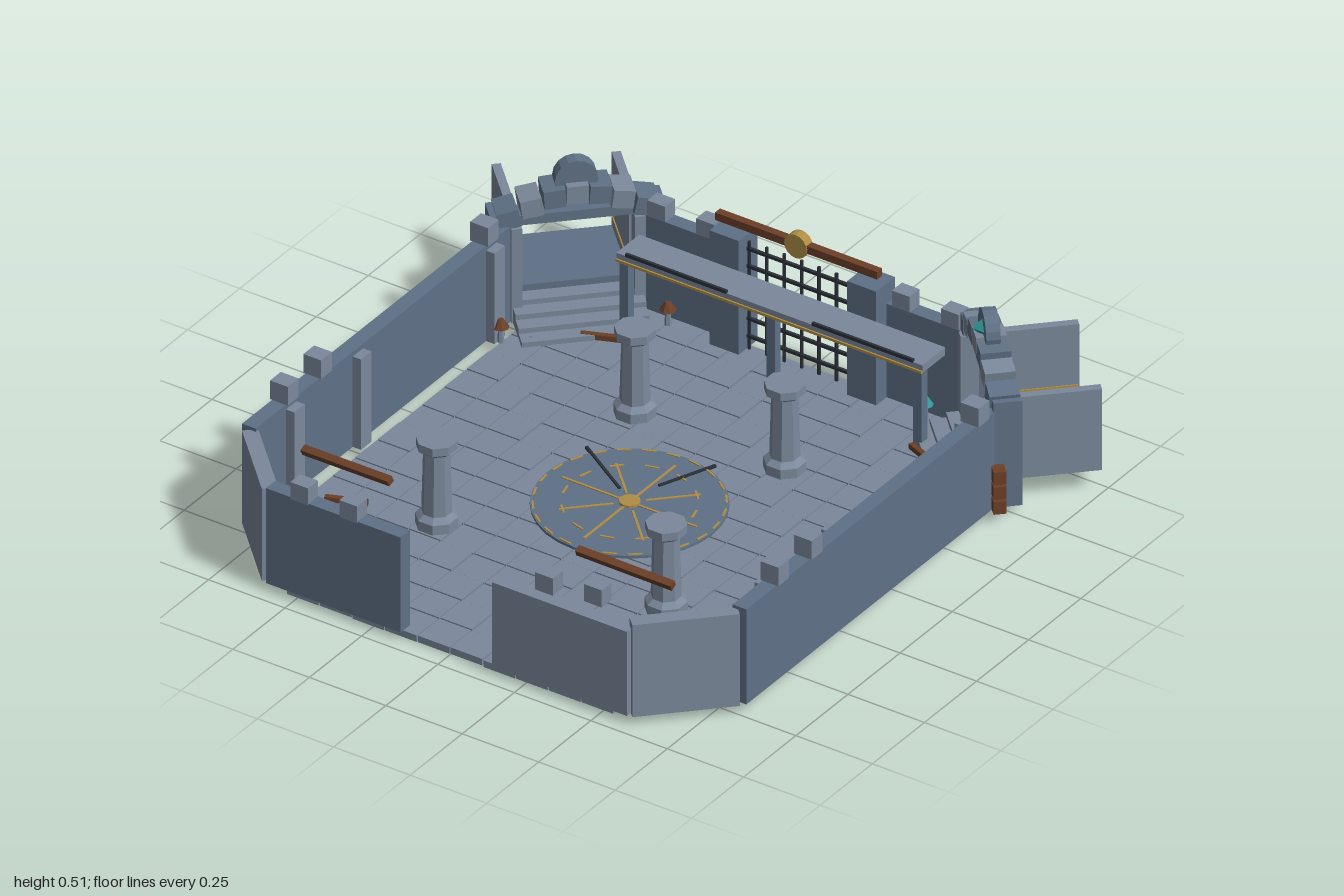
import * as THREE from 'three';

const mat = (color) => new THREE.MeshStandardMaterial({ color, flatShading: true });
const STONE = mat(0x5f7186), PALE = mat(0x7b899b), WOOD = mat(0x6b4028);
const GOLD = mat(0xb08d45), IRON = mat(0x2b3038), TEAL = mat(0x2f9a9a);

export function createModel() {
  const root = new THREE.Group();

  function add(name, geo, m, x, y, z, parent = root) {
    const mesh = new THREE.Mesh(geo, m);
    mesh.name = name;
    mesh.position.set(x, y, z);
    parent.add(mesh);
    return mesh;
  }
  const box = (name, w, h, d, m, x, y, z, parent) =>
    add(name, new THREE.BoxGeometry(w, h, d), m, x, y, z, parent);
  const cyl = (name, r0, r1, h, n, m, x, y, z, parent) =>
    add(name, new THREE.CylinderGeometry(r0, r1, h, n), m, x, y, z, parent);
  // Upright or flat bar between two plan points
  function span(name, x1, z1, x2, z2, thick, y0, y1, m) {
    const b = box(name, Math.hypot(x2 - x1, z2 - z1), y1 - y0, thick, m,
      (x1 + x2) / 2, (y0 + y1) / 2, (z1 + z2) / 2);
    b.rotation.y = -Math.atan2(z2 - z1, x2 - x1);
    return b;
  }

  // Floor of square slabs, corners left off
  const floor = new THREE.Group();
  floor.name = 'floor';
  root.add(floor);
  const step = 0.107;
  for (let i = 0; i < 14; i++) for (let j = 0; j < 16; j++) {
    const x = (i - 6.5) * step, z = -0.715 + j * step;
    if (Math.abs(x) + z > 1.47 || Math.abs(x) - z > 1.33) continue;
    const sink = ((i * 7 + j * 5) % 4) * 0.001;
    box('floorSlab', 0.103, 0.021, 0.103, PALE, x, 0.0125 - sink, z, floor);
  }

  // Inlaid floor circle with spokes, ring dashes and cracks
  const cz = 0.08;
  cyl('floorCircle', 0.27, 0.27, 0.008, 32, STONE, 0, 0.027, cz);
  cyl('circleBoss', 0.03, 0.03, 0.012, 12, GOLD, 0, 0.032, cz);
  for (let k = 0; k < 8; k++) {
    const a = k * Math.PI / 4;
    const s = box('circleSpoke', k % 2 ? 0.15 : 0.2, 0.005, 0.007, GOLD,
      Math.cos(a) * 0.12, 0.031, cz + Math.sin(a) * 0.12);
    s.rotation.y = -a;
  }
  for (const [r, n] of [[0.262, 24], [0.185, 12]]) for (let k = 0; k < n; k++) {
    const a = (k + 0.5) * 2 * Math.PI / n;
    const d = box('ringDash', 0.006, 0.005, 0.04, GOLD, Math.cos(a) * r, 0.031, cz + Math.sin(a) * r);
    d.rotation.y = -a;
  }
  for (const [a, b, c, d] of [[-0.25, -0.08, -0.06, 0.04], [0.09, -0.2, 0.02, -0.03], [0.1, 0.14, 0.29, 0.28]])
    span('crack', a, b, c, d, 0.008, 0.028, 0.036, IRON);

  // Octagonal columns
  const profile = [[0, 0], [0.06, 0], [0.06, 0.03], [0.043, 0.045], [0.038, 0.235], [0.058, 0.25], [0.058, 0.275], [0, 0.275]];
  for (const [x, z] of [[-0.245, -0.305], [0.245, -0.305], [-0.375, 0.455], [0.375, 0.455]])
    add('column', new THREE.LatheGeometry(profile.map(p => new THREE.Vector2(...p)), 8, Math.PI / 8), PALE, x, 0.025, z);

  // Parts repeated on both sides
  for (const s of [-1, 1]) {
    span('sideWall', s * 0.802, -0.52, s * 0.802, 0.73, 0.045, 0.025, 0.33, STONE);
    span('cornerWall', s * 0.798, 0.73, s * 0.59, 0.94, 0.045, 0.025, 0.32, PALE);
    span('frontWall', s * 0.15, 0.937, s * 0.59, 0.937, 0.045, 0.025, s > 0 ? 0.295 : 0.33, s > 0 ? PALE : STONE);
    span('backWall', s * 0.18, -0.775, s * 0.52, -0.775, 0.045, 0.025, 0.325, STONE);
    for (const z of [-0.4, 0.4, 0.56]) box('battlement', 0.058, 0.06, 0.052, PALE, s * 0.802, 0.36, z);
    for (const z of [-0.4, 0.24, 0.56]) box('pilaster', 0.03, 0.29, 0.05, PALE, s * 0.767, 0.17, z);
    for (const x of [0.32, 0.48]) {
      box('frontBattlement', 0.058, 0.055, 0.048, PALE, s * x, x * s === 0.48 ? 0.372 : 0.352, 0.937);
      box('backBattlement', 0.058, 0.05, 0.048, PALE, s * x, 0.35, -0.775);
    }
    box('gatePillar', 0.095, 0.365, 0.09, STONE, s * 0.225, 0.207, -0.748);

    // Fallen beams and planks
    const beam = box('wallBeam', 0.3, 0.02, 0.022, WOOD, s * 0.455, 0.35, 0.768);
    beam.rotation.set(0.4, s * 0.04, -s * 0.08);
    span('plank', s * 0.58, 0.485, s * 0.69, 0.53, 0.016, 0.026, 0.042, WOOD);
    span('plank', s * 0.47, -0.58, s * 0.58, -0.535, 0.016, 0.026, 0.042, WOOD);
    // Crates leaning outside by the doorways
    for (const [x, z] of [[0.845, -0.45], [0.475, -0.815]]) for (let k = 0; k < 3; k++) {
      const c = box('outerBoards', 0.035, 0.04, 0.042, WOOD, s * x, 0.05 + k * 0.047, z);
      c.rotation.y = s * Math.PI / 4;
    }
    // Mushrooms
    for (const [x, z] of [[0.42, -0.72], [0.745, -0.395]]) {
      cyl('mushroomStem', 0.007, 0.01, 0.05, 6, PALE, s * x, 0.05, z);
      cyl('mushroomCap', 0.008, 0.024, 0.025, 8, s > 0 ? TEAL : WOOD, s * x, 0.085, z);
    }
    // Rubble
    for (let k = 0; k < 6; k++) {
      const a = k * 2.1, r = 0.012 + (k % 3) * 0.012;
      add('rubble', new THREE.DodecahedronGeometry(0.014 + (k % 3) * 0.004), STONE,
        s * (0.725 + Math.cos(a) * r), 0.038, 0.675 + Math.sin(a) * r);
      add('doorRubble', new THREE.DodecahedronGeometry(0.01), STONE,
        s * (0.69 + Math.cos(a) * r), 0.033, -0.46 + Math.sin(a) * r);
    }
    buildDoorway(s);
  }

  // Raised corner doorway: local z points outward
  function buildDoorway(s) {
    const g = new THREE.Group();
    g.name = s > 0 ? 'leftDoorway' : 'rightDoorway';
    g.position.set(s * 0.695, 0, -0.67);
    g.rotation.y = s * Math.PI * 0.75;
    root.add(g);
    for (let k = 0; k < 4; k++)
      box('stair', 0.36, 0.016 * (k + 1), 0.045, PALE, 0, 0.025 + 0.008 * (k + 1), -0.178 + k * 0.045, g);
    for (const t of [-1, 1]) {
      box('doorPost', 0.07, 0.335, 0.08, STONE, t * 0.205, 0.192, -0.02, g);
      box('innerPost', 0.03, 0.3, 0.05, PALE, t * 0.17, 0.175, -0.05, g);
      box('alcoveSide', 0.025, 0.26, 0.25, PALE, t * 0.165, 0.2, 0.126, g);
      box('alcoveTrim', 0.004, 0.006, 0.24, GOLD, t * 0.151, 0.135, 0.126, g);
    }
    box('alcoveFloor', 0.34, 0.025, 0.25, STONE, 0, 0.0825, 0.126, g);
    box('lintel', 0.4, 0.03, 0.06, STONE, 0, 0.335, -0.02, g);
    // Stepped arch stones
    for (let k = -3; k <= 3; k++) {
      const a = box('archStone', 0.06, 0.055, 0.085, k % 2 ? STONE : PALE,
        k * 0.063, 0.345 + 0.065 * Math.cos(k * 0.5), -0.025, g);
      a.rotation.z = -k * 0.07;
    }
    const crest = cyl('crestDisc', 0.06, 0.06, 0.04, 16, STONE, 0, 0.445, -0.025, g);
    crest.rotation.x = Math.PI / 2;
    if (s > 0) add('crestGem', new THREE.OctahedronGeometry(0.028), TEAL, 0, 0.452, -0.045, g);
  }

  // Gate grille in the back wall
  for (let k = -3; k <= 3; k++) cyl('gateBar', 0.005, 0.005, 0.345, 6, IRON, k * 0.057, 0.197, -0.745);
  for (let k = 0; k < 6; k++) box('gateCrossbar', 0.36, 0.009, 0.009, IRON, 0, 0.065 + k * 0.056, -0.745);
  box('gateBeam', 0.53, 0.024, 0.024, WOOD, 0, 0.43, -0.73);
  cyl('gateMedallion', 0.037, 0.037, 0.03, 16, GOLD, 0, 0.43, -0.73).rotation.x = Math.PI / 2;

  // Walkway in front of the gate
  box('walkway', 1.0, 0.025, 0.11, PALE, 0, 0.283, -0.645);
  box('walkwayTrim', 1.0, 0.008, 0.006, GOLD, 0, 0.274, -0.588);
  box('walkwayPost', 0.028, 0.25, 0.028, STONE, 0, 0.148, -0.61);
  for (const s of [-1, 1]) {
    box('walkwayPost', 0.028, 0.25, 0.028, STONE, s * 0.48, 0.148, -0.61);
    span('walkwayRail', s * 0.14, -0.592, s * 0.47, -0.592, 0.008, 0.294, 0.304, IRON);
  }
  return root;
}
